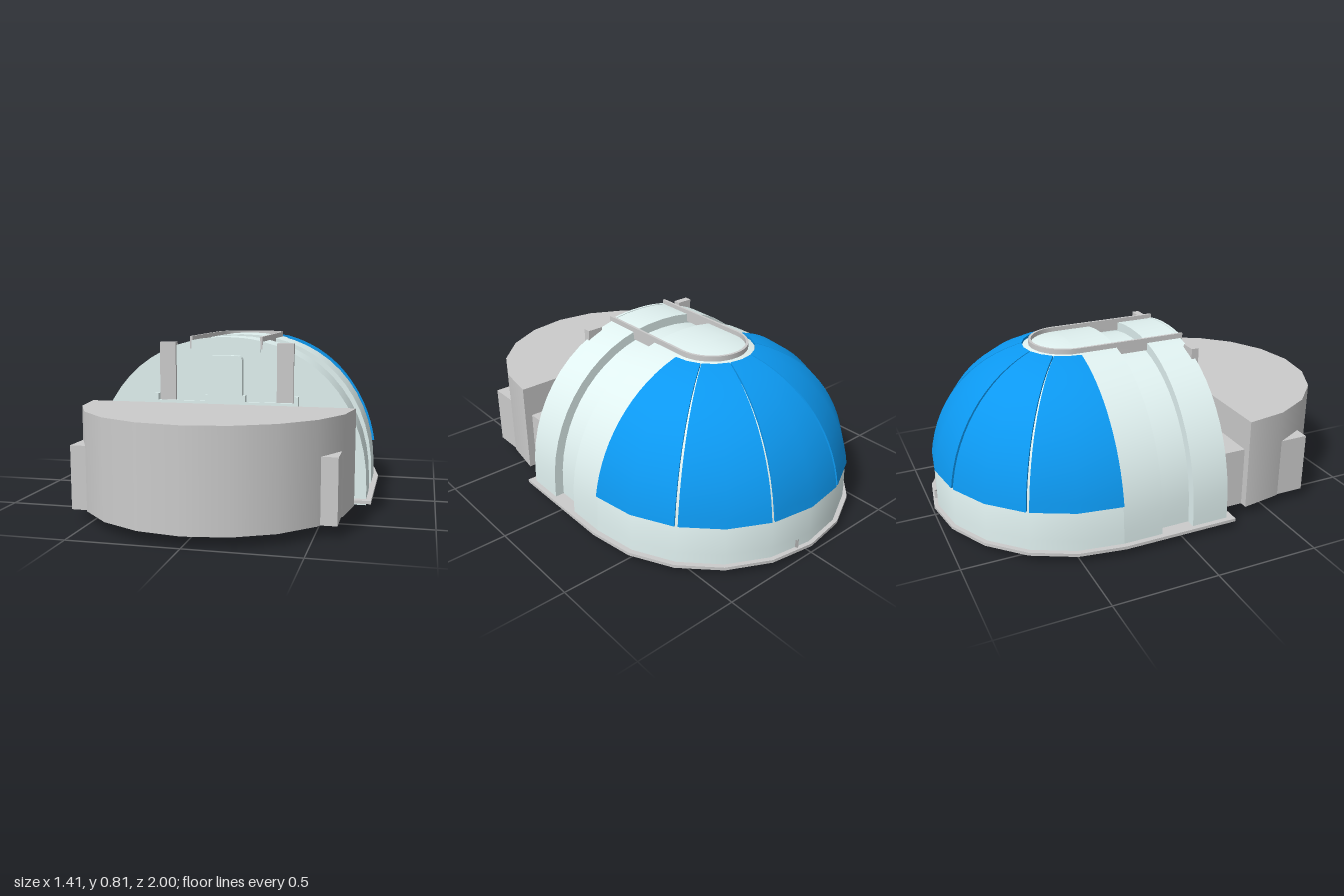
import * as THREE from 'three';
import { toCreasedNormals } from 'three/addons/utils/BufferGeometryUtils.js';

const mat = (color) => new THREE.MeshStandardMaterial({ color, side: THREE.DoubleSide });
const V = (x, y) => new THREE.Vector2(x, y);
const HALF = Math.PI / 2;
const DOME_Z = -0.3; // centre of the rounded back

// Quarter arch from the wall foot to the crown, grown outward by d
function arch(d, steps = 14) {
  const pts = [];
  for (let i = 0; i <= steps; i++) {
    const a = (i / steps) * HALF, e = 2 / 2.15;
    pts.push(V((0.68 + d) * Math.max(0, Math.cos(a)) ** e, 0.1 + (0.705 + d) * Math.sin(a) ** e));
  }
  pts[steps].x = 0;
  return pts;
}

// Radius of the arch at height y, and height at radius x
const radiusAt = (y, d) => (0.68 + d) * (1 - ((y - 0.1) / (0.705 + d)) ** 2.15) ** (1 / 2.15);
const heightAt = (x, d) => 0.1 + (0.705 + d) * (1 - (x / (0.68 + d)) ** 2.15) ** (1 / 2.15);

export function createModel() {
  const model = new THREE.Group();
  const grey = mat(0xcccccc), pale = mat(0xe0f1f0), blue = mat(0x0c98f0);

  function add(name, geometry, material, x = 0, y = 0, z = 0, parent = model) {
    const mesh = new THREE.Mesh(geometry, material);
    mesh.name = name;
    mesh.position.set(x, y, z);
    parent.add(mesh);
    return mesh;
  }
  const box = (name, m, x0, x1, y0, y1, z0, z1) =>
    add(name, new THREE.BoxGeometry(x1 - x0, y1 - y0, z1 - z0), m, (x0 + x1) / 2, (y0 + y1) / 2, (z0 + z1) / 2);
  const extrude = (shape, depth) =>
    toCreasedNormals(new THREE.ExtrudeGeometry(shape, { depth, bevelEnabled: false, curveSegments: 10 }), 0.5);

  // Barrel: two full bands with a recessed one between
  function band(name, d, z0, z1) {
    const right = [V(0.68 + d, 0.02), ...arch(d)];
    const left = right.slice(0, -1).reverse().map((p) => V(-p.x, p.y));
    add(name, extrude(new THREE.Shape([...right, ...left]), z1 - z0), pale, 0, 0, z0);
  }
  band('frontBand', 0, 0.05, 0.23);
  band('recessedBand', -0.045, -0.11, 0.05);
  band('rearBand', 0, DOME_Z, -0.11);

  // Rounded back of the dome
  const domeProfile = [V(0, 0.02), V(0.68, 0.02), ...arch(0)];
  add('backDome', toCreasedNormals(new THREE.LatheGeometry(domeProfile, 10, HALF, Math.PI), 0.6), pale, 0, 0, DOME_Z);

  // Five blue panels with thin seams
  const lift = 0.011, low = 0.24, inner = 0.21;
  const outerCurve = [V(radiusAt(low, lift), low)];
  for (const p of arch(lift, 20)) if (p.y > low + 0.02 && p.x > inner + 0.02) outerCurve.push(p);
  outerCurve.push(V(inner, heightAt(inner, lift)));
  const section = [V(radiusAt(low, -0.01), low), ...outerCurve, V(inner, heightAt(inner, -0.01))];
  for (let i = 0; i < 5; i++) {
    const gap = 0.011, step = Math.PI / 5;
    const start = HALF + i * step + (i > 0 ? gap : 0);
    const end = HALF + (i + 1) * step - (i < 4 ? gap : 0);
    const panel = new THREE.Group();
    panel.name = 'bluePanel' + (i + 1);
    panel.position.z = DOME_Z;
    model.add(panel);
    add('panelSkin', toCreasedNormals(new THREE.LatheGeometry(section, 2, start, end - start), 0.6), blue, 0, 0, 0, panel);
    for (const phi of [start, end]) {
      const edge = add('panelEdge', new THREE.ShapeGeometry(new THREE.Shape(section)), blue, 0, 0, 0, panel);
      edge.rotation.y = phi - HALF;
    }
  }

  // Base rim, straight at the front and faceted round the back
  const rimPoints = [V(-0.705, -0.265), V(0.705, -0.265)];
  for (let i = 0; i <= 10; i++) {
    const a = (i / 10) * Math.PI;
    rimPoints.push(V(0.705 * Math.cos(a), 0.3 + 0.7 * Math.sin(a)));
  }
  add('baseRim', extrude(new THREE.Shape(rimPoints), 0.015).rotateX(-HALF), grey, 0, 0.035, 0);
  add('undersideDisc', new THREE.CylinderGeometry(0.4, 0.4, 0.01, 32), grey, 0, 0.018, -0.32);

  // Low grey strip on one side of the back wall
  add('wallStrip', new THREE.CylinderGeometry(0.685, 0.685, 0.04, 3, 1, HALF + Math.PI / 10, Math.PI * 0.3), grey, 0, 0.07, DOME_Z);

  // U-shaped roof rail
  const rail = new THREE.Shape();
  rail.moveTo(0.178, -0.24);
  rail.lineTo(0.178, 0.3);
  rail.absarc(0, 0.3, 0.178, 0, Math.PI, false);
  rail.lineTo(-0.178, -0.24);
  rail.lineTo(-0.166, -0.24);
  rail.lineTo(-0.166, 0.3);
  rail.absarc(0, 0.3, 0.166, Math.PI, 0, true);
  rail.lineTo(0.166, -0.24);
  add('roofRail', extrude(rail, 0.06).rotateX(-HALF), grey, 0, 0.75, 0);

  // Curved lip closing the front of the rail
  const lipPoints = [];
  for (let i = -4; i <= 4; i++) lipPoints.push(V(i * 0.0425, heightAt(Math.abs(i * 0.0425), 0.002)));
  lipPoints.push(V(0.17, 0.735), V(0, 0.755), V(-0.17, 0.735));
  add('roofLip', extrude(new THREE.Shape(lipPoints), 0.013), pale, 0, 0, 0.23);

  // Door with rounded upper corners
  const door = new THREE.Shape();
  door.moveTo(-0.085, 0.43);
  door.lineTo(0.085, 0.43);
  door.lineTo(0.085, 0.695);
  door.absarc(0.06, 0.695, 0.025, 0, HALF, false);
  door.lineTo(-0.06, 0.72);
  door.absarc(-0.06, 0.695, 0.025, HALF, Math.PI, false);
  add('door', extrude(door, 0.035), pale, 0, 0, 0.23);

  // Pillars, handrails and connecting blocks on both sides
  for (const s of [-1, 1]) {
    const side = (name, m, a, b, ...rest) => box(name, m, Math.min(s * a, s * b), Math.max(s * a, s * b), ...rest);
    side('pillar', grey, 0.25, 0.33, 0, 0.78, 0.21, 0.246);
    side('railPost', pale, 0.335, 0.355, 0.4, 0.53, 0.23, 0.262);
    side('railPost', pale, 0.085, 0.1, 0.4, 0.53, 0.23, 0.262);
    for (const y of [0.42, 0.485]) side('handrail', pale, 0.09, 0.35, y, y + 0.014, 0.248, 0.26);
    side('connectingBlock', grey, 0.38, 0.597, 0.05, 0.343, 0.22, 0.715);
  }

  // Half-round front block
  add('frontBlock', new THREE.CylinderGeometry(0.635, 0.635, 0.45, 10, 1, false, -HALF, Math.PI), grey, 0, 0.275, 0.363);
  const back = add('frontBlockBack', new THREE.PlaneGeometry(1.27, 0.45), grey, 0, 0.275, 0.363);
  back.rotation.y = Math.PI;

  return model;
}
